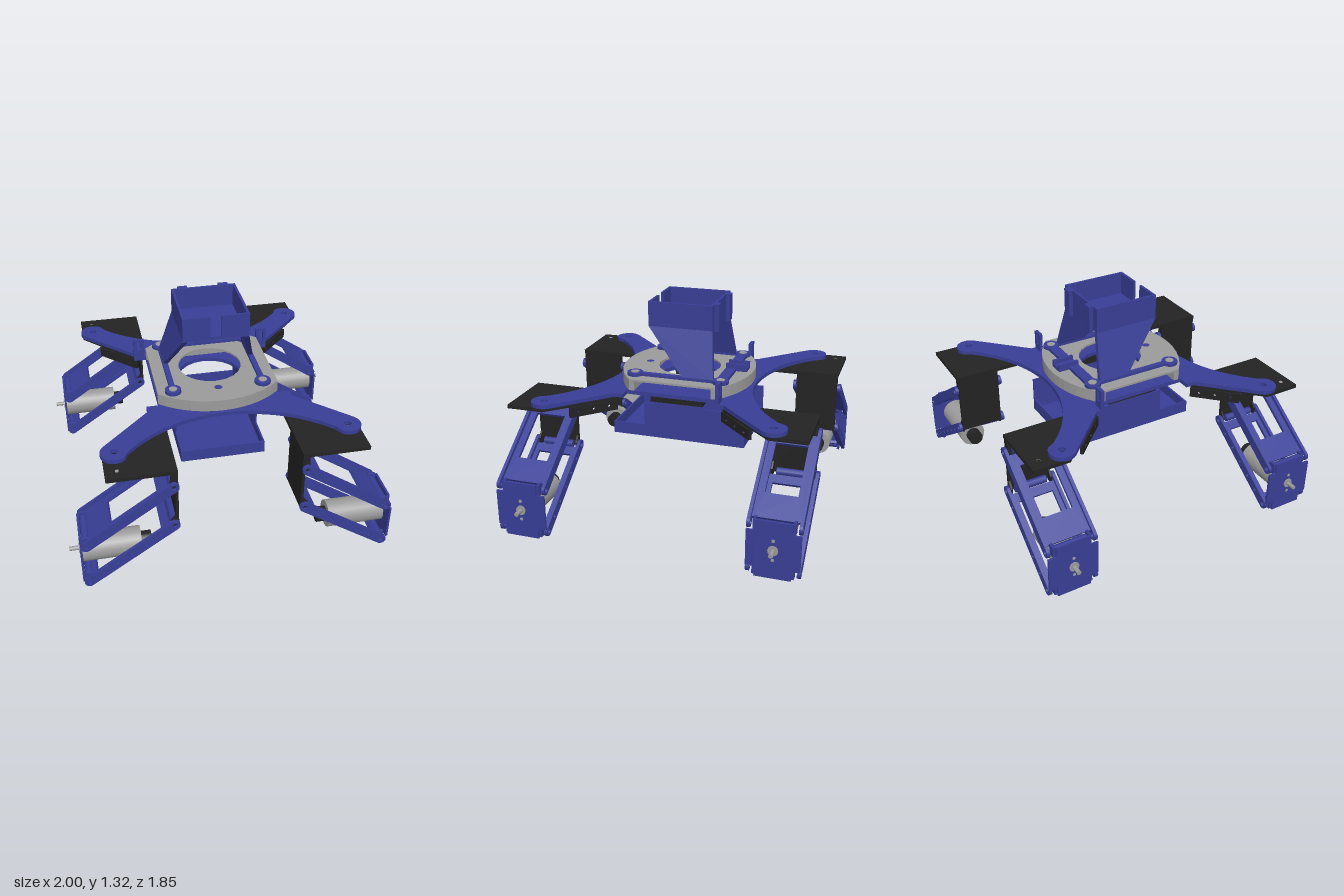
import * as THREE from 'three';

const mat = (name, color) => {
  const m = new THREE.MeshStandardMaterial({ color });
  m.name = name;
  return m;
};

export function createModel() {
  const blue = mat('blue plastic', 0x383e96);
  const black = mat('black plastic', 0x232323);
  const grey = mat('grey metal', 0x9b9b9b);
  const model = new THREE.Group();
  model.name = 'quadruped';

  const add = (parent, name, geo, material, x = 0, y = 0, z = 0) => {
    const m = new THREE.Mesh(geo, material);
    m.name = name;
    m.position.set(x, y, z);
    parent.add(m);
    return m;
  };
  // Box given by its limits
  const box = (parent, name, material, x0, x1, y0, y1, z0, z1) =>
    add(parent, name, new THREE.BoxGeometry(x1 - x0, y1 - y0, z1 - z0), material,
      (x0 + x1) / 2, (y0 + y1) / 2, (z0 + z1) / 2);
  const shapeOf = pts => new THREE.Shape(pts.map(p => new THREE.Vector2(p[0], p[1])));
  const hole = (shape, x, y, r) => {
    shape.holes.push(new THREE.Path().absarc(x, y, r, 0, Math.PI * 2, true));
    return shape;
  };
  const extrude = (shape, depth) =>
    new THREE.ExtrudeGeometry(shape, { depth, bevelEnabled: false, curveSegments: 10 });
  // Horizontal plate from [x, z] points, with [x, z, r] holes
  const plate = (parent, name, material, pts, y0, y1, holes = []) => {
    const s = shapeOf(pts.map(([x, z]) => [x, -z]));
    holes.forEach(([x, z, r]) => hole(s, x, -z, r));
    return add(parent, name, extrude(s, y1 - y0).rotateX(-Math.PI / 2), material, 0, y0, 0);
  };
  // Upright plate from [z, y] points, facing along x from 0 to the given thickness
  const sidePlate = (pts, t) =>
    extrude(shapeOf(pts.map(([z, y]) => [-z, y])), t).rotateY(Math.PI / 2);
  // Repeats a quadrant outline around both axes
  const fourWay = q => {
    const back = [...q].reverse();
    return [...q, ...back.map(([x, z]) => [x, -z]), ...q.map(([x, z]) => [-x, -z]),
      ...back.map(([x, z]) => [-x, z])];
  };

  // Deck with four arms
  const arm = [];
  for (let i = 0; i <= 10; i++) {
    const x = 0.061 * i;
    arm.push([x, 1.27 - Math.sqrt(0.83 ** 2 - x * x)]);
  }
  for (let i = 0; i <= 12; i++) {
    const a = Math.PI * (0.75 - i / 12);
    arm.push([0.69 + 0.08 * Math.cos(a), 0.695 + 0.08 * Math.sin(a)]);
  }
  arm.push([0.45, 0.345], [0.45, 0.29], [0.375, 0.29]);
  const corners = [[1, 1], [1, -1], [-1, 1], [-1, -1]];
  plate(model, 'deck', blue, fourWay(arm), 0.785, 0.81,
    [...corners.map(([sx, sz]) => [sx * 0.69, sz * 0.695, 0.022]), [0, 0, 0.2]]);

  // Turret base: solid ends, open sides, thin lid
  const arc = [];
  for (let i = 0; i <= 8; i++) {
    const x = 0.375 * i / 8;
    arc.push([x, -0.14 + Math.sqrt(0.56 ** 2 - x * x)]);
  }
  plate(model, 'turretLid', grey, fourWay(arc), 0.87, 0.882, [[0, 0, 0.2], [0, 0.27, 0.025]]);
  for (const s of [1, -1]) {
    const half = [...arc, [0.375, 0.245]];
    const end = [...half, ...[...half].reverse().map(([x, z]) => [-x, z])];
    plate(model, 'turretBaseEnd', grey, end.map(([x, z]) => [x, z * s]), 0.81, 0.87);
  }
  add(model, 'turretScrew', new THREE.CylinderGeometry(0.025, 0.025, 0.07, 8), blue, 0, 0.845, 0.27);

  // Rear posts with a slot
  for (const s of [1, -1]) {
    const post = shapeOf([[-0.035, 0], [0.035, 0], [0.035, 0.125], [-0.035, 0.125]]);
    post.holes.push(new THREE.Path([[-0.014, 0.045], [-0.014, 0.11], [0.014, 0.11], [0.014, 0.045]]
      .map(p => new THREE.Vector2(...p))));
    add(model, 'rearPost', extrude(post, 0.022), blue, s * 0.415, 0.81, -0.316);
  }

  // Upper mount: rails, open box and slanted supports
  const mount = new THREE.Group();
  mount.name = 'upperMount';
  model.add(mount);
  for (const s of [1, -1]) {
    box(mount, 'mountRail', blue, s * 0.28 - 0.017, s * 0.28 + 0.017, 0.882, 0.9, -0.28, 0.27);
    for (const z of [-0.28, 0.27]) {
      add(mount, 'mountFoot', new THREE.CylinderGeometry(0.05, 0.05, 0.02, 20), blue, s * 0.28, 0.892, z);
      add(mount, 'mountScrew', new THREE.CylinderGeometry(0.026, 0.026, 0.004, 12), grey, s * 0.28, 0.904, z);
    }
    const geo = sidePlate([[0.205, 1.18], [-0.04, 0.895], [-0.235, 0.895], [-0.205, 1.18]], 0.03);
    const p = geo.attributes.position;
    for (let i = 0; i < p.count; i++) {
      p.setX(i, p.getX(i) - 0.015 + s * (0.19 + (1.18 - p.getY(i)) * 0.31));
    }
    geo.computeVertexNormals();
    add(mount, 'slantedSupport', geo, blue);
    box(mount, 'boxSide', blue, s * 0.197 - 0.008, s * 0.197 + 0.008, 1.18, 1.335, -0.205, 0.205);
    box(mount, 'boxFront', blue, Math.min(s * 0.035, s * 0.19), Math.max(s * 0.035, s * 0.19),
      1.18, 1.335, 0.19, 0.205);
    box(mount, 'boxBackRib', blue, s * 0.13 - 0.03, s * 0.13 + 0.03, 1.165, 1.335, -0.232, -0.205);
    box(mount, 'floorPeg', blue, s * 0.08 - 0.012, s * 0.08 + 0.012, 1.165, 1.18, 0.08, 0.11);
    box(mount, 'cableGuide', blue, s * 0.036 - 0.009, s * 0.036 + 0.009, 0.9, 0.93, -0.385, -0.25);
  }
  box(mount, 'boxFrontSill', blue, -0.035, 0.035, 1.18, 1.2, 0.19, 0.205);
  box(mount, 'boxBack', blue, -0.19, 0.19, 1.18, 1.335, -0.205, -0.19);
  box(mount, 'boxFloor', blue, -0.19, 0.19, 1.18, 1.195, -0.19, 0.19);
  box(mount, 'cableGuideFloor', blue, -0.045, 0.045, 0.885, 0.905, -0.385, -0.25);
  box(mount, 'mountCrossbar', blue, -0.28, 0.28, 0.882, 0.902, -0.315, -0.25);

  // Tray hung below the deck
  const tray = new THREE.Group();
  tray.name = 'tray';
  model.add(tray);
  box(tray, 'trayFloor', blue, -0.265, 0.265, 0.465, 0.477, -0.43, 0.43);
  for (const s of [1, -1]) {
    add(tray, 'traySide', sidePlate([[0.43, 0.465], [0.43, 0.542], [0.22, 0.542], [0.22, 0.69],
      [0.16, 0.69], [0.16, 0.716], [-0.16, 0.716], [-0.16, 0.69], [-0.43, 0.69], [-0.43, 0.465]], 0.01),
    blue, s * 0.26 - 0.005);
    box(tray, 'trayLip', blue, -0.255, 0.255, 0.477, 0.542, s * 0.424 - 0.006, s * 0.424 + 0.006);
    box(tray, 'trayHanger', black, s * 0.257 - 0.033, s * 0.257 + 0.033, 0.716, 0.76, -0.17, 0.17);
    box(tray, 'hangerFlange', black, s * 0.255 - 0.055, s * 0.255 + 0.055, 0.758, 0.785, -0.17, 0.17);
  }

  // Link of a leg: two pierced side bars and a web with a window
  const addLink = (leg, name, x0, y0, x1, y1, w0, w1, wz, dots) => {
    const link = new THREE.Group();
    link.name = name;
    link.position.set(x0, y0, 0);
    link.rotation.z = Math.atan2(y1 - y0, x1 - x0);
    leg.add(link);
    const L = Math.hypot(x1 - x0, y1 - y0), r = 0.031;
    const bar = new THREE.Shape();
    bar.absarc(0, 0, r, Math.PI / 2, Math.PI * 1.5, false);
    bar.absarc(L, 0, r, -Math.PI / 2, Math.PI / 2, false);
    hole(bar, 0, 0, 0.016);
    hole(bar, L, 0, 0.016);
    for (let i = 1; i <= dots; i++) hole(bar, L * i / (dots + 1), 0, 0.01);
    for (const z of [-0.157, 0.137]) add(link, 'linkBar', extrude(bar, 0.02), blue, 0, 0, z);
    const web = shapeOf([[0.03, -0.138], [L - 0.03, -0.138], [L - 0.03, 0.138], [0.03, 0.138]]);
    web.holes.push(new THREE.Path([[w0 * L, -wz], [w0 * L, wz], [w1 * L, wz], [w1 * L, -wz]]
      .map(p => new THREE.Vector2(...p))));
    add(link, 'linkWeb', extrude(web, 0.02).rotateX(-Math.PI / 2), blue, 0, -0.01, 0);
    for (const x of [0, L]) {
      add(link, 'linkPivot', new THREE.CylinderGeometry(0.024, 0.024, 0.2, 14).rotateX(Math.PI / 2), blue, x);
    }
  };

  for (const [sx, sz] of corners) {
    const leg = new THREE.Group();
    leg.name = 'leg';
    leg.position.z = sz * 0.767;
    if (sx < 0) leg.rotation.y = Math.PI;
    model.add(leg);

    // Hip bracket
    box(leg, 'hipPlate', black, 0.36, 0.374, 0.39, 0.765, -0.134, 0.134);
    for (const z of [-0.134, 0.122]) {
      add(leg, 'hipFlange', extrude(shapeOf([[0.365, 0.375], [0.4, 0.375], [0.41, 0.42], [0.378, 0.46],
        [0.378, 0.63], [0.41, 0.665], [0.4, 0.765], [0.365, 0.765]]), 0.012), black, 0, 0, z);
    }

    addLink(leg, 'upperLink', 0.387, 0.68, 0.9, 0.328, 0.17, 0.7, 0.095, 0);
    addLink(leg, 'lowerLink', 0.387, 0.402, 0.9, 0.052, 0.14, 0.9, 0.11, 5);

    // Foot bracket
    box(leg, 'footPlate', blue, 0.925, 0.938, 0.012, 0.365, -0.105, 0.105);
    for (const s of [1, -1]) {
      box(leg, 'footPlateWing', blue, 0.925, 0.938, 0.075, 0.3,
        s * 0.13 - 0.026, s * 0.13 + 0.026);
      for (const y of [0.052, 0.328]) {
        box(leg, 'footLug', blue, 0.88, 0.926, y - 0.035, y + 0.035, s * 0.112 - 0.008, s * 0.112 + 0.008);
      }
    }

    // Motor with its shaft
    const cyl = (name, m, r, x0, x1) => add(leg, name,
      new THREE.CylinderGeometry(r, r, x1 - x0, 24).rotateZ(Math.PI / 2), m, (x0 + x1) / 2, 0.19, 0);
    cyl('motorBody', grey, 0.084, 0.575, 0.926);
    cyl('motorEnd', black, 0.047, 0.512, 0.575);
    cyl('shaftCollar', grey, 0.03, 0.926, 0.945);
    cyl('motorShaft', grey, 0.013, 0.94, 1.0);
    for (const y of [0.13, 0.25]) {
      add(leg, 'motorScrew', new THREE.CylinderGeometry(0.01, 0.01, 0.006, 10).rotateZ(Math.PI / 2), grey, 0.939, y);
    }

    // Shoulder plate and diagonal rib under the arm
    plate(model, 'shoulderPlate', black, [[0.36, 0.905], [0.76, 0.905], [0.76, 0.68], [0.43, 0.335],
      [0.36, 0.4]].map(([x, z]) => [x * sx, z * sz]), 0.762, 0.785);
    const rib = shapeOf([[-0.155, 0], [0.155, 0], [0.155, 0.062], [-0.155, 0.062]]);
    for (const x of [-0.1, 0, 0.1]) hole(rib, x, 0.03, 0.01);
    add(model, 'shoulderRib', extrude(rib, 0.02).translate(0, 0, -0.01), black,
      sx * 0.538, 0.7, sz * 0.445).rotation.y = -sx * sz * Math.PI / 4;
    // Outer trim along the top of the leg
    box(leg, 'shoulderBolt', grey, 0.68, 0.7, 0.784, 0.788, sz * -0.082, sz * -0.062);
  }
  return model;
}
